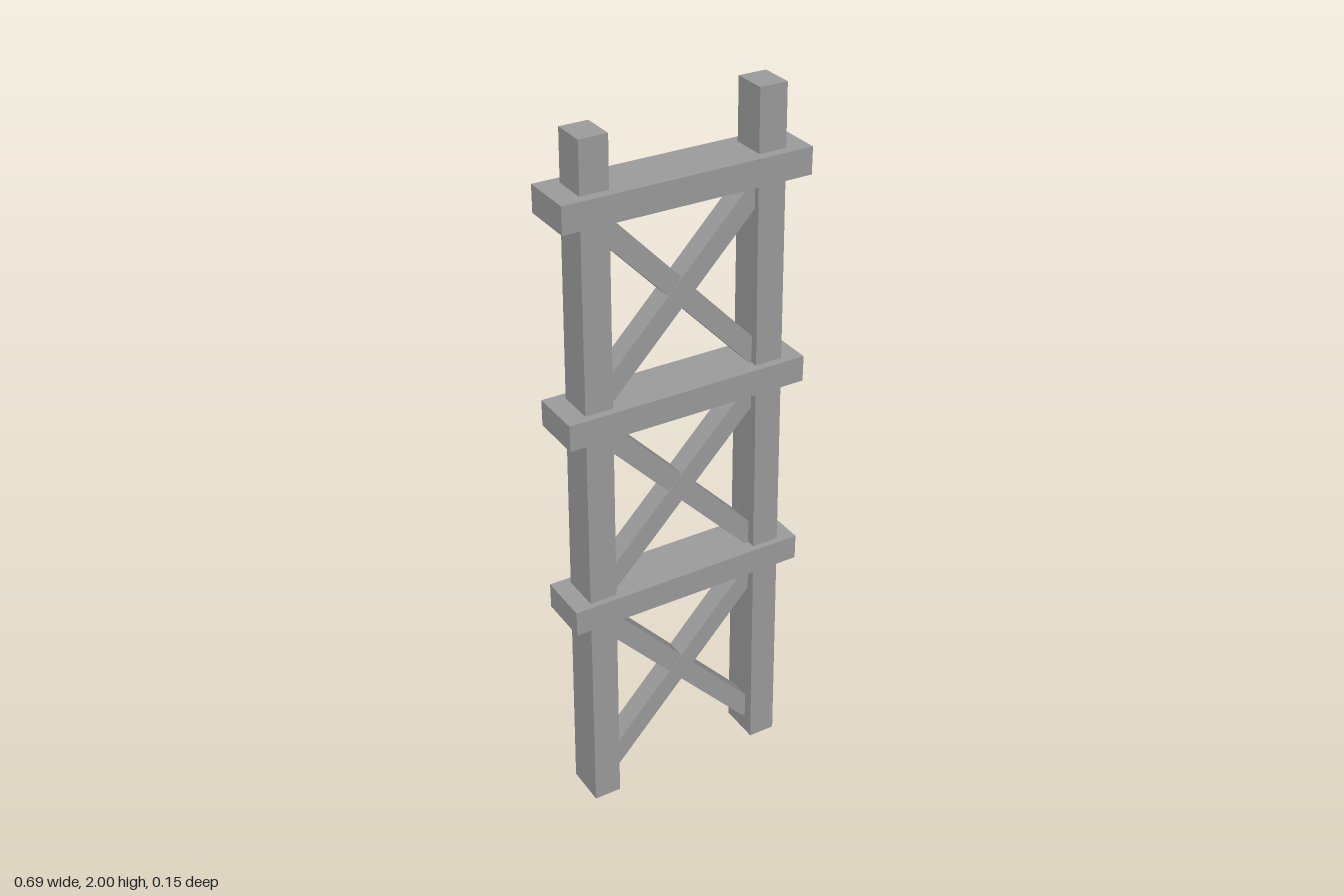
import * as THREE from 'three';

const material = new THREE.MeshStandardMaterial({ color: 0x9c9c9c, flatShading: true });

function box(name, w, h, d, x, y, z) {
  const mesh = new THREE.Mesh(new THREE.BoxGeometry(w, h, d), material);
  mesh.name = name;
  mesh.position.set(x, y, z);
  return mesh;
}

// Square post that leans inwards and narrows in depth towards the top
function post(name, bottomX, topX, height) {
  const geometry = new THREE.BoxGeometry(0.078, height, 1);
  geometry.translate(0, height / 2, 0);
  const p = geometry.attributes.position;
  for (let i = 0; i < p.count; i++) {
    const t = p.getY(i) / height;
    const back = THREE.MathUtils.lerp(-0.06, -0.049, t);
    const front = THREE.MathUtils.lerp(0.06, 0.045, t);
    p.setX(i, p.getX(i) + THREE.MathUtils.lerp(bottomX, topX, t));
    p.setZ(i, p.getZ(i) > 0 ? front : back);
  }
  geometry.computeVertexNormals();
  const mesh = new THREE.Mesh(geometry, material);
  mesh.name = name;
  return mesh;
}

export function createModel() {
  const group = new THREE.Group();
  group.name = 'trestleTower';

  // Uprights of slightly different height
  group.add(post('rightPost', -0.261, -0.245, 1.97));
  group.add(post('leftPost', 0.26, 0.243, 2));

  // Horizontal planks clasping the posts
  for (const y of [0.647, 1.216, 1.796]) {
    group.add(box('crossRail', 0.69, 0.073, 0.149, -0.001, y, -0.002));
  }

  // Crossed diagonal braces: centre height, half width and half height
  const tiers = [[0.333, 0.225, 0.245], [0.937, 0.22, 0.23], [1.508, 0.215, 0.225]];
  for (const [y, halfX, halfY] of tiers) {
    for (const side of [-1, 1]) {
      const length = 2 * Math.hypot(halfX, halfY) + 0.03;
      const brace = box('diagonalBrace', length, 0.057, 0.06, -0.001, y, side * 0.001);
      brace.rotation.z = side * Math.atan2(halfY, halfX);
      group.add(brace);
    }
  }
  return group;
}
